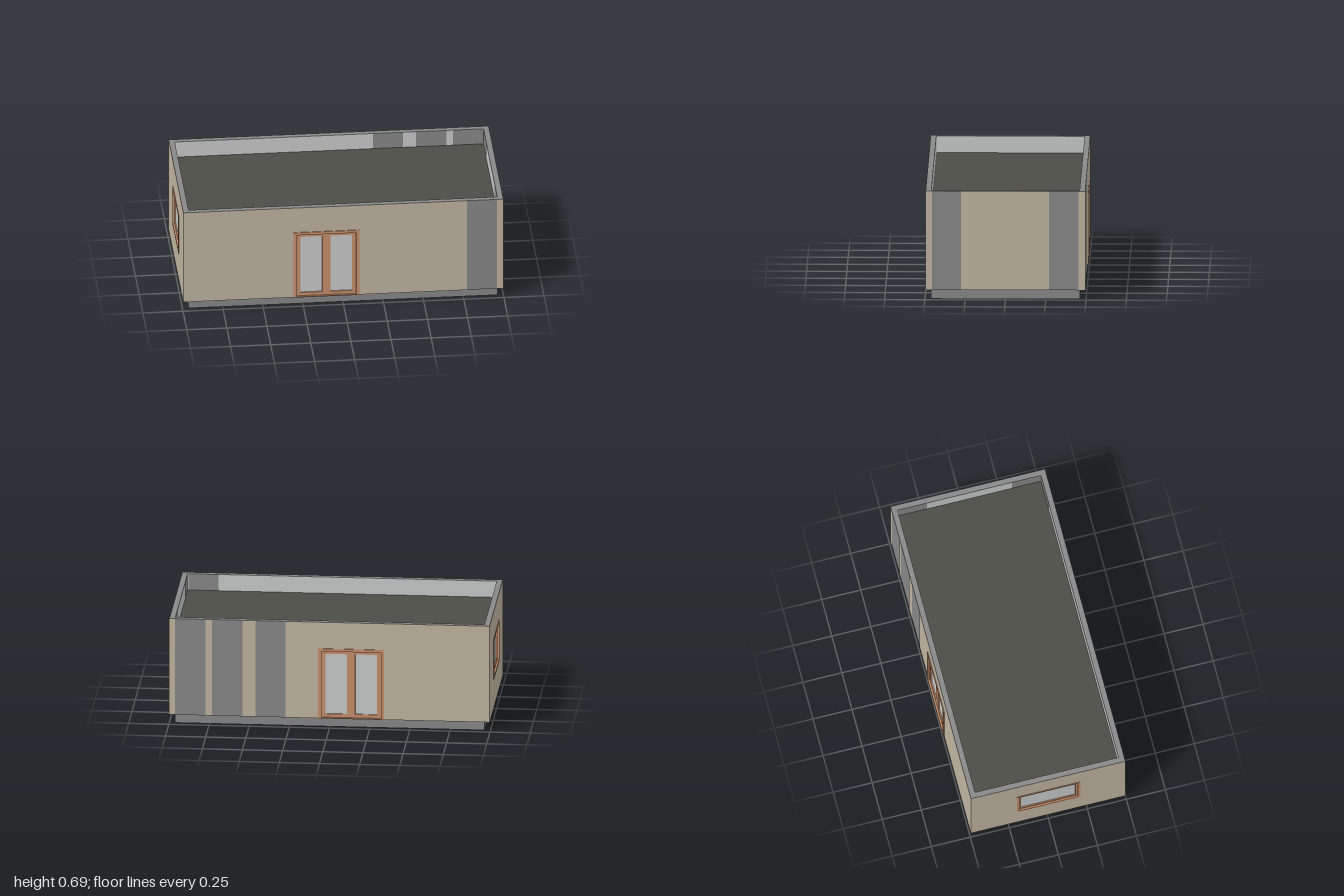
import * as THREE from 'three';

const BOTTOM = 0.062, TOP = 0.685, ROOF = 0.58, T = 0.036;
const HALF_X = 0.998, HALF_Z = 0.496;

const flat = (name, color) => {
  const m = new THREE.MeshStandardMaterial({ color });
  m.name = name;
  return m;
};

export function createModel() {
  const tan = flat('tan render', 0xc1b5a1);
  const grey = flat('grey concrete', 0x898989);
  const wood = flat('orange wood', 0xc8906d);
  const pale = flat('pale grey', 0xcacccb);
  const dark = flat('dark roofing', 0x4d4d47);
  const model = new THREE.Group();
  model.name = 'building';

  const add = (parent, name, geometry, material, x, y, z) => {
    const mesh = new THREE.Mesh(geometry, material);
    mesh.name = name;
    mesh.position.set(x, y, z);
    parent.add(mesh);
    return mesh;
  };
  // Box given by its limits
  const box = (parent, name, material, x0, x1, y0, y1, z0, z1) =>
    add(parent, name, new THREE.BoxGeometry(x1 - x0, y1 - y0, z1 - z0), material,
      (x0 + x1) / 2, (y0 + y1) / 2, (z0 + z1) / 2);
  // Single face given by its limits, looking out or in
  const face = (parent, name, material, [x0, x1, y0, y1], z, inward = false) => {
    const mesh = add(parent, name, new THREE.PlaneGeometry(x1 - x0, y1 - y0), material,
      (x0 + x1) / 2, (y0 + y1) / 2, z);
    if (inward) mesh.rotation.y = Math.PI;
  };

  // Rectangles that cover a stretch of wall around an opening
  const cells = (a, b, o) => {
    if (!o || o.x0 < a || o.x1 > b) return [[a, b, BOTTOM, TOP]];
    const list = [[a, o.x0, BOTTOM, TOP], [o.x1, b, BOTTOM, TOP], [o.x0, o.x1, o.y1, TOP]];
    if (o.y0 > BOTTOM) list.push([o.x0, o.x1, BOTTOM, o.y0]);
    return list;
  };
  // Stretches left between the grey strips
  const gaps = (half, strips) => {
    const ends = [-half, ...strips.flat(), half];
    const list = [];
    for (let i = 0; i < ends.length; i += 2) list.push([ends[i], ends[i + 1]]);
    return list;
  };

  // Four bars around a rectangle
  const ring = (parent, name, o, side, low, high, z0, z1) => {
    box(parent, name, wood, o.x0, o.x0 + side, o.y0, o.y1, z0, z1);
    box(parent, name, wood, o.x1 - side, o.x1, o.y0, o.y1, z0, z1);
    box(parent, name, wood, o.x0 + side, o.x1 - side, o.y0, o.y0 + low, z0, z1);
    box(parent, name, wood, o.x0 + side, o.x1 - side, o.y1 - high, o.y1, z0, z1);
  };

  // Casing, recessed sashes and glass
  const joinery = (parent, o) => {
    const g = new THREE.Group();
    g.name = o.door ? 'doubleDoor' : 'window';
    parent.add(g);
    if (o.door) {
      ring(g, 'doorCasing', o, 0.02, 0.006, 0.018, -T, 0.005);
      const mid = (o.x0 + o.x1) / 2;
      for (const [x0, x1] of [[o.x0 + 0.02, mid], [mid, o.x1 - 0.02]]) {
        const leaf = { x0, x1, y0: o.y0 + 0.006, y1: o.y1 - 0.018 };
        ring(g, 'doorLeaf', leaf, 0.025, 0.022, 0.018, -0.03, -0.007);
      }
    } else {
      ring(g, 'windowCasing', o, 0.016, 0.016, 0.016, -T, 0.003);
      const sash = { x0: o.x0 + 0.016, x1: o.x1 - 0.016, y0: o.y0 + 0.016, y1: o.y1 - 0.016 };
      ring(g, 'windowSash', sash, 0.012, 0.012, 0.012, -0.03, -0.008);
    }
    box(g, 'glass', pale, o.x0 + 0.01, o.x1 - 0.01, o.y0 + 0.004, o.y1 - 0.01, -0.021, -0.015);
  };

  // A wall in its own frame: outer face at z = 0, looking along +z
  const wall = (name, half, coreHalf, strips, opening) => {
    const g = new THREE.Group();
    g.name = name;
    model.add(g);
    for (const [x0, x1, y0, y1] of cells(-coreHalf, coreHalf, opening))
      box(g, 'wallCore', grey, x0, x1, y0, y1, -T, -0.001);
    for (const [a, b] of gaps(half, strips))
      for (const c of cells(a, b, opening)) face(g, 'outerRender', tan, c, 0);
    for (const [a, b] of gaps(half - T, strips))
      if (b > a) face(g, 'parapetLining', pale, [a, b, ROOF, TOP], -T - 0.001, true);
    if (opening) joinery(g, opening);
    return g;
  };

  // Base and roof
  box(model, 'base', grey, -0.963, 0.963, 0, BOTTOM, -0.461, 0.461);
  box(model, 'roof', dark, -HALF_X + T, HALF_X - T, ROOF - 0.03, ROOF, -HALF_Z + T, HALF_Z - T);

  // Front and back walls with double doors
  const door = (x0, x1) => ({ x0, x1, y0: BOTTOM, y1: 0.515, door: true });
  const front = wall('frontWall', HALF_X, HALF_X - 0.001, [[0.77, 0.957]], door(-0.312, 0.1));
  front.position.z = HALF_Z;
  const back = wall('backWall', HALF_X, HALF_X - 0.001,
    [[-0.961, -0.773], [-0.73, -0.542], [-0.461, -0.273]], door(-0.07, 0.34));
  back.position.z = -HALF_Z;
  back.rotation.y = Math.PI;

  // End walls, the one at -x with a window
  const left = wall('leftWall', HALF_Z, HALF_Z - T, [[-0.455, -0.275], [0.27, 0.453]]);
  left.position.x = HALF_X;
  left.rotation.y = Math.PI / 2;
  const right = wall('rightWall', HALF_Z, HALF_Z - T, [],
    { x0: -0.2, x1: 0.205, y0: 0.248, y1: 0.515 });
  right.position.x = -HALF_X;
  right.rotation.y = -Math.PI / 2;

  return model;
}
